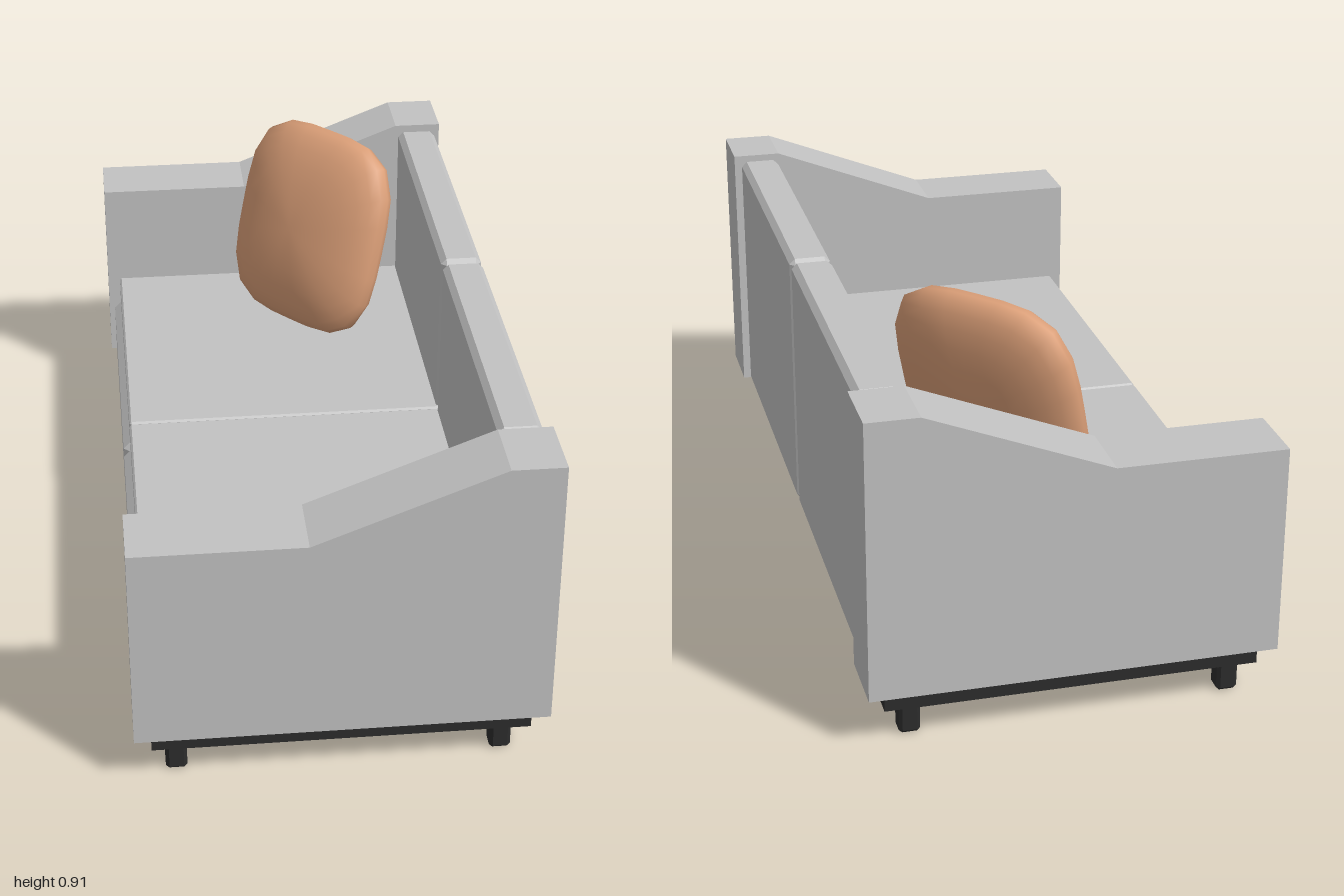
import * as THREE from 'three';
import { mergeVertices } from 'three/addons/utils/BufferGeometryUtils.js';
import { ConvexGeometry } from 'three/addons/geometries/ConvexGeometry.js';

// Box between two corners with every edge cut at 45 degrees
function chamferBox(min, max, c) {
  const mid = min.map((v, i) => (v + max[i]) / 2);
  const half = min.map((v, i) => (max[i] - v) / 2);
  const points = [];
  for (const sx of [-1, 1]) for (const sy of [-1, 1]) for (const sz of [-1, 1]) {
    for (let full = 0; full < 3; full++) {
      const p = [sx, sy, sz].map((s, i) => mid[i] + s * (half[i] - (i === full ? 0 : c)));
      points.push(new THREE.Vector3(...p));
    }
  }
  return new ConvexGeometry(points);
}

// Soft square pillow: a sphere pushed out to a rounded square outline
function pillowGeometry(halfWidth, halfHeight, halfDepth) {
  let geo = new THREE.SphereGeometry(1, 24, 14);
  geo.rotateX(Math.PI / 2);
  geo.deleteAttribute('uv');
  geo.deleteAttribute('normal');
  geo = mergeVertices(geo, 1e-4);
  const pos = geo.attributes.position;
  for (let i = 0; i < pos.count; i++) {
    const x = pos.getX(i), y = pos.getY(i), z = pos.getZ(i);
    const r = Math.hypot(x, y) || 1;
    const p = 3.6;
    const f = 1 / Math.pow(Math.abs(x / r) ** p + Math.abs(y / r) ** p, 1 / p);
    pos.setXYZ(i, x * f * halfWidth, y * f * halfHeight, z * halfDepth);
  }
  geo.computeVertexNormals();
  return geo;
}

export function createModel() {
  const fabric = new THREE.MeshStandardMaterial({ color: 0xc2c2c2 });
  fabric.name = 'greyFabric';
  const dark = new THREE.MeshStandardMaterial({ color: 0x2c2c2c });
  dark.name = 'darkFrame';
  const tan = new THREE.MeshStandardMaterial({ color: 0xdb9f78 });
  tan.name = 'tanFabric';

  const model = new THREE.Group();
  model.name = 'sofa';
  const add = (name, geometry, material) => {
    const mesh = new THREE.Mesh(geometry, material);
    mesh.name = name;
    model.add(mesh);
    return mesh;
  };

  // Dark plinth
  const plinth = add('plinth', new THREE.BoxGeometry(0.88, 0.045, 1.95), dark);
  plinth.position.y = 0.1075;

  // Legs
  for (const x of [-0.383, 0.376]) for (const z of [-0.92, 0.92]) {
    add('leg', chamferBox([x - 0.025, 0, z - 0.025], [x + 0.025, 0.095, z + 0.025], 0.008), dark);
  }

  // Sloping arms
  const armShape = new THREE.Shape([
    [-0.48, 0.13], [0.48, 0.13], [0.48, 0.81], [0.355, 0.81], [-0.08, 0.64], [-0.48, 0.64],
  ].map(([x, y]) => new THREE.Vector2(x, y)));
  for (const z of [-1, 0.83]) {
    const arm = add('arm', new THREE.ExtrudeGeometry(armShape, { depth: 0.17, bevelEnabled: false }), fabric);
    arm.position.z = z;
  }

  // Two seat sections, each with base, cushion and backrest
  for (const [z0, z1] of [[-0.82, -0.002], [0.002, 0.82]]) {
    add('seatBase', chamferBox([-0.465, 0.13, z0], [0.37, 0.30, z1], 0.018), fabric);
    add('seatCushion', chamferBox([-0.447, 0.29, z0], [0.37, 0.37, z1], 0.005), fabric);
    add('backrest', chamferBox([0.36, 0.13, z0], [0.463, 0.80, z1], 0.014), fabric);
  }

  // Pillow leaning into the corner
  const pillow = add('pillow', pillowGeometry(0.25, 0.275, 0.095), tan);
  pillow.rotation.order = 'YXZ';
  pillow.rotation.set(-0.28, -0.856, 0);
  pillow.position.set(0.085, 0.643, -0.55);

  return model;
}
